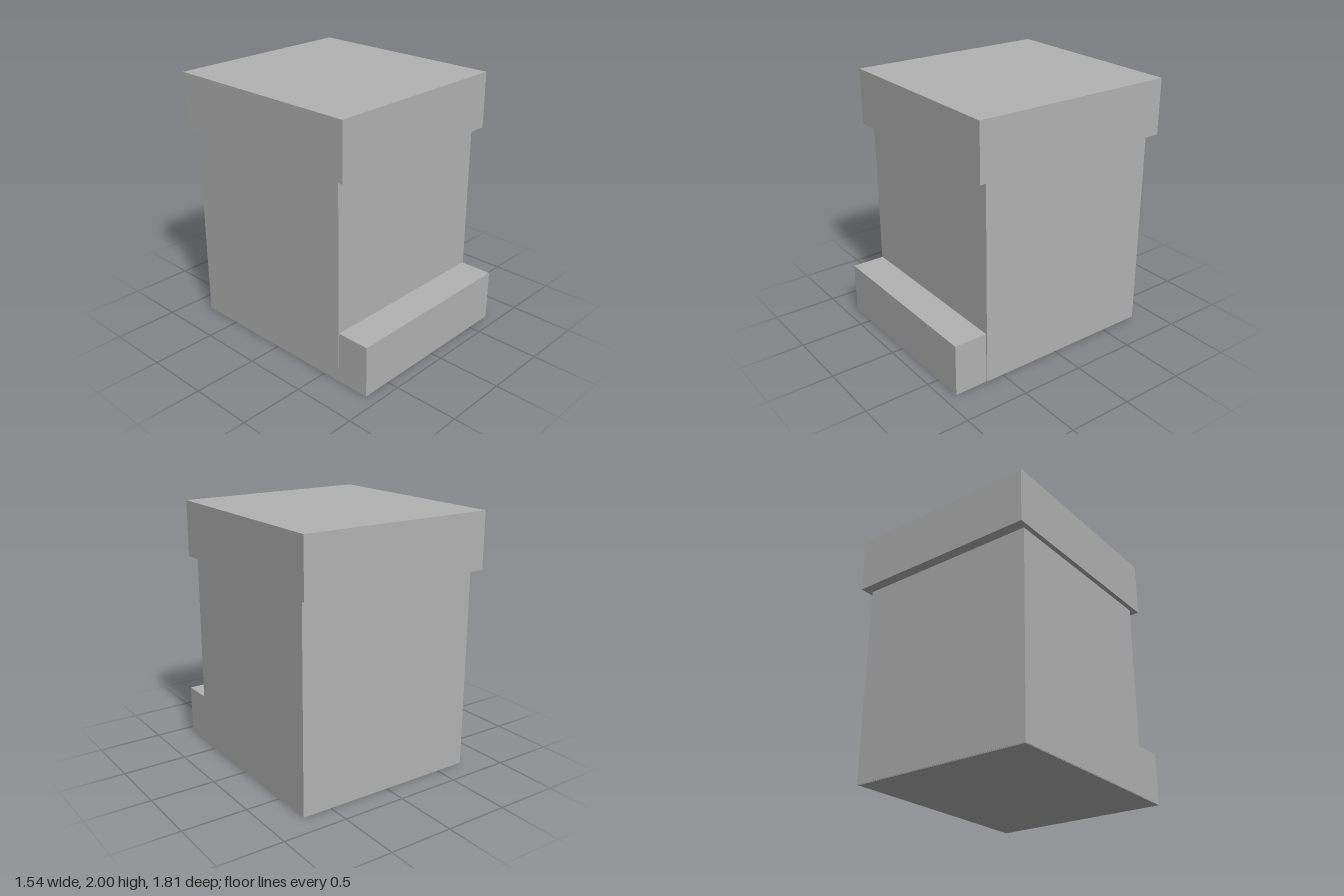
import * as THREE from 'three';

const grey = new THREE.MeshStandardMaterial({ color: 0xb2b2b2 });
grey.name = 'grey';

// Box given by its extents along each axis
function block(name, [x0, x1], [y0, y1], [z0, z1]) {
  const mesh = new THREE.Mesh(new THREE.BoxGeometry(x1 - x0, y1 - y0, z1 - z0), grey);
  mesh.position.set((x0 + x1) / 2, (y0 + y1) / 2, (z0 + z1) / 2);
  mesh.name = name;
  return mesh;
}

export function createModel() {
  const model = new THREE.Group();
  model.name = 'blockWithLid';
  model.add(
    // Base running under the body and forming the front step
    block('baseStep', [-0.73, 0.724], [0, 0.402], [-0.82, 0.905]),
    // Main upright body
    block('body', [-0.733, 0.733], [0.004, 1.568], [-0.824, 0.643]),
    // Overhanging lid
    block('lid', [-0.77, 0.77], [1.568, 2], [-0.905, 0.716])
  );
  return model;
}
